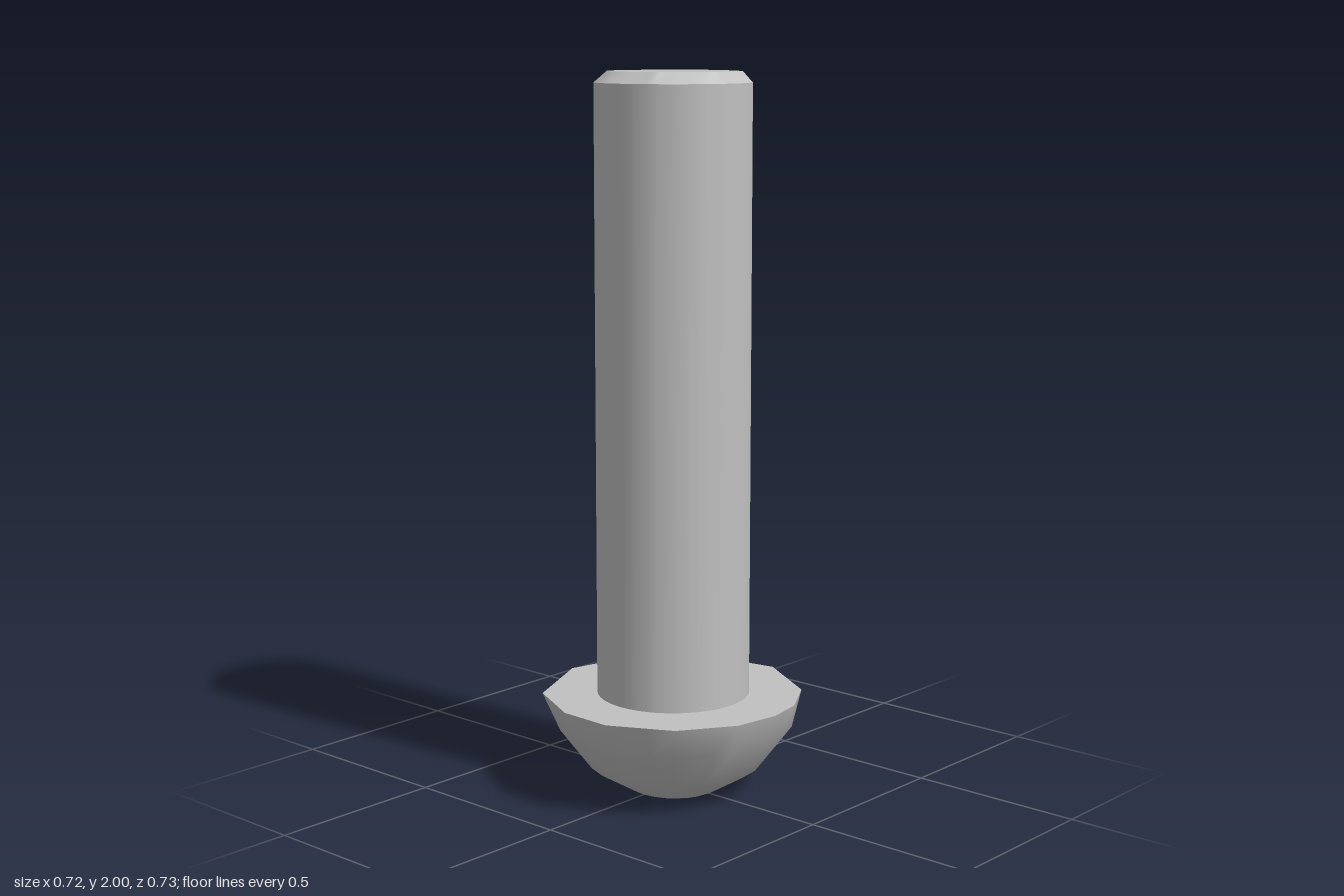
import * as THREE from 'three';

const steel = new THREE.MeshStandardMaterial({ color: 0xc0c0c0 });
steel.name = 'steel grey';

// Faceted outlines as [x, z], in order of increasing angle
const RIM = [[-0.04, -0.365], [0.19, -0.31], [0.32, -0.165], [0.36, 0.063], [0.241, 0.265], [0.112, 0.342],
  [0.006, 0.362], [-0.128, 0.342], [-0.273, 0.246], [-0.362, 0.074], [-0.357, -0.083], [-0.27, -0.257]];
const TIP = [[-0.023, -0.185], [0.125, -0.135], [0.18, 0.011], [0.106, 0.149],
  [-0.046, 0.18], [-0.169, 0.084], [-0.176, -0.071], [-0.11, -0.147]];

const TAU = Math.PI * 2;
const wrap = (a) => ((a % TAU) + TAU) % TAU;
const angleOf = ([x, z]) => wrap(Math.atan2(z, x));

// Even angles plus the angles of the outline's own corners
function anglesFor(outline, count) {
  const list = outline.map(angleOf);
  for (let i = 0; i < count; i++) {
    const a = (i / count) * TAU;
    if (list.every((b) => Math.abs(a - b) > 0.02)) list.push(a);
  }
  return list.sort((a, b) => a - b);
}

// Point where a ray from the axis meets the outline
function onOutline(outline, a, y) {
  const dx = Math.cos(a), dz = Math.sin(a);
  for (let i = 0; i < outline.length; i++) {
    const p = outline[i], q = outline[(i + 1) % outline.length];
    if (wrap(a - angleOf(p) + 1e-7) > wrap(angleOf(q) - angleOf(p)) + 1e-7) continue;
    const ex = q[0] - p[0], ez = q[1] - p[1];
    const r = (p[0] * ez - p[1] * ex) / (dx * ez - dz * ex);
    return [dx * r, y, dz * r];
  }
}
const outlineRing = (outline, angles, y) => angles.map((a) => onOutline(outline, a, y));
const circleRing = (r, angles, y, cx = 0, cz = 0) =>
  angles.map((a) => [cx + Math.cos(a) * r, y, cz + Math.sin(a) * r]);

function makeMesh(name, points, index) {
  const geometry = new THREE.BufferGeometry();
  geometry.setAttribute('position', new THREE.Float32BufferAttribute(points.flat(), 3));
  geometry.setIndex(index);
  geometry.computeVertexNormals();
  const mesh = new THREE.Mesh(geometry, steel);
  mesh.name = name;
  return mesh;
}

// Smooth skin through rings listed from bottom to top
function loft(name, rings) {
  const n = rings[0].length, index = [];
  for (let i = 0; i < rings.length - 1; i++) {
    for (let j = 0; j < n; j++) {
      const k = (j + 1) % n;
      const a = i * n + j, b = i * n + k, c = a + n, d = b + n;
      index.push(a, c, b, b, c, d);
    }
  }
  return makeMesh(name, rings.flat(), index);
}

// Flat face closing a ring
function cap(name, ring, up) {
  const n = ring.length, index = [];
  for (let j = 0; j < n; j++) {
    const k = (j + 1) % n;
    index.push(n, up ? k : j, up ? j : k);
  }
  return makeMesh(name, [...ring, [0, ring[0][1], 0]], index);
}

export function createModel() {
  const bolt = new THREE.Group();
  bolt.name = 'bolt';

  // Domed head with a faceted rim
  const headAngles = anglesFor(RIM, 12);
  const rim = outlineRing(RIM, headAngles, 0.275);
  const bottom = circleRing(0.13, headAngles, 0);
  const head = new THREE.Group();
  head.name = 'head';
  head.add(
    loft('headDome', [bottom, circleRing(0.245, headAngles, 0.07), circleRing(0.335, headAngles, 0.19), rim]),
    cap('headShelf', rim, true),
    cap('headBottom', bottom, false),
  );

  // Round shank with a chamfer that narrows to a faceted tip
  const shankAngles = anglesFor(TIP, 48);
  const foot = circleRing(0.214, shankAngles, 0.27, -0.004, -0.002);
  const shoulder = circleRing(0.214, shankAngles, 1.97, -0.004, -0.002);
  const tip = outlineRing(TIP, shankAngles, 2);
  const shank = new THREE.Group();
  shank.name = 'shank';
  shank.add(
    loft('shankSide', [foot, shoulder]),
    loft('tipChamfer', [shoulder, tip]),
    cap('tipFace', tip, true),
  );

  bolt.add(head, shank);
  return bolt;
}
